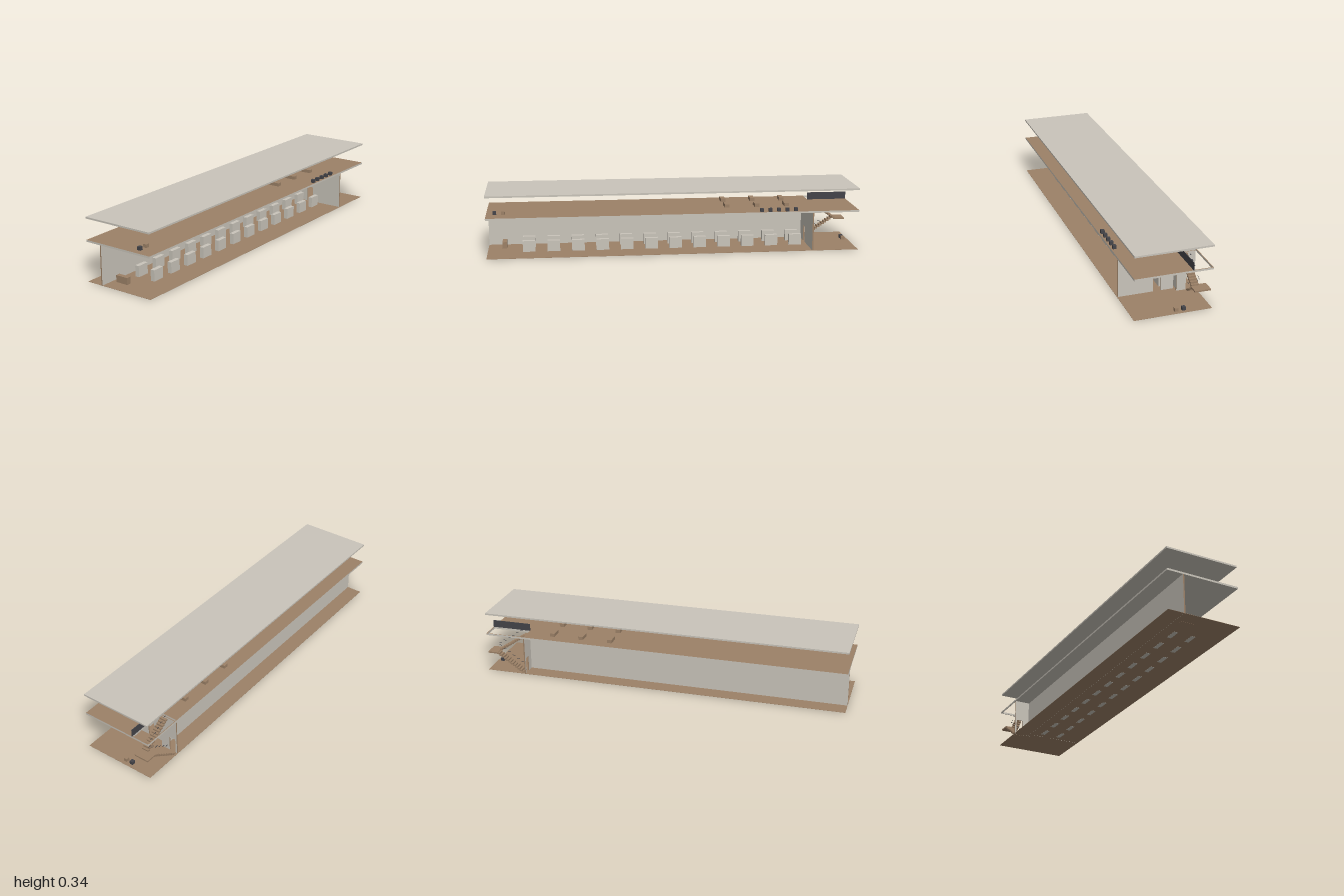
import * as THREE from 'three';

export function createModel() {
  const model = new THREE.Group();
  model.name = 'twoStoreyHall';

  const mat = (name, color) => {
    const m = new THREE.MeshStandardMaterial({ color });
    m.name = name;
    return m;
  };
  const plaster = mat('plaster', 0xc9c4ba);
  const wood = mat('wood', 0x9c8167);
  const dark = mat('darkGrey', 0x444449);

  // Box given by its x, y and z ranges
  const box = (name, material, x, y, z, parent = model) => {
    const g = new THREE.BoxGeometry(x[1] - x[0], y[1] - y[0], z[1] - z[0]);
    const m = new THREE.Mesh(g, material);
    m.name = name;
    m.position.set((x[0] + x[1]) / 2, (y[0] + y[1]) / 2, (z[0] + z[1]) / 2);
    parent.add(m);
    return m;
  };
  // Box standing at y, centred on (cx, cz)
  const block = (name, material, cx, y, cz, w, h, d) =>
    box(name, material, [cx - w / 2, cx + w / 2], [y, y + h], [cz - d / 2, cz + d / 2]);

  const rect = (x0, y0, x1, y1, Type = THREE.Shape) => {
    const s = new Type();
    s.moveTo(x0, y0);
    s.lineTo(x1, y0);
    s.lineTo(x1, y1);
    s.lineTo(x0, y1);
    s.closePath();
    return s;
  };
  const extrude = (shape, depth) => new THREE.ExtrudeGeometry(shape, { depth, bevelEnabled: false });

  // Ground floor and roof
  box('groundFloor', wood, [-0.2, 0.2], [0.0007, 0.0017], [-1, 1]);
  box('roof', plaster, [-0.2, 0.2], [0.33, 0.339], [-1, 1]);

  // Upper floor with a stairwell opening, boarded on top
  const slab = rect(-0.2, -1, 0.2, 1);
  slab.holes.push(rect(-0.196, 0.78, -0.1, 0.995, THREE.Path));
  const addSlab = (name, material, y, depth) => {
    const m = new THREE.Mesh(extrude(slab, depth).rotateX(-Math.PI / 2), material);
    m.name = name;
    m.position.y = y;
    model.add(m);
  };
  addSlab('upperFloorSlab', plaster, 0.21, 0.009);
  addSlab('upperFloorBoards', [wood, plaster], 0.219, 0.001);

  // Cross walls with doorways and wooden edges
  const crossWall = (name, x0, x1, door0, door1, z) => {
    const s = new THREE.Shape();
    [[x0, 0], [door0, 0], [door0, 0.09], [door1, 0.09], [door1, 0], [x1, 0], [x1, 0.21], [x0, 0.21]]
      .forEach(([x, y], i) => (i ? s.lineTo(x, y) : s.moveTo(x, y)));
    s.closePath();
    const m = new THREE.Mesh(extrude(s, 0.007), [plaster, wood]);
    m.name = name;
    m.position.z = z;
    model.add(m);
  };
  crossWall('backWall', -0.095, 0.195, -0.027, 0.012, -0.754);
  crossWall('stairWall', -0.197, -0.1, -0.188, -0.15, -0.784);

  // Long wall, wooden on its ends
  box('longWall', [plaster, plaster, wood, wood, wood, wood],
    [-0.113, -0.106], [0, 0.21], [-0.777, 1]);

  // Two rows of twelve display racks
  for (const x of [-0.044, 0.056]) {
    for (let i = 0; i < 12; i++) block('displayRack', plaster, x, 0, 0.778 - i * 0.1325, 0.023, 0.061, 0.068);
  }

  // Ground floor furniture
  block('counter', wood, -0.0475, 0, 0.912, 0.071, 0.038, 0.024);
  block('woodStool', wood, -0.024, 0.0017, -0.972, 0.019, 0.018, 0.019);
  block('darkStool', dark, -0.062, 0.0017, -0.972, 0.019, 0.018, 0.019);

  // Upper floor furniture
  for (const x of [-0.115, 0.034]) {
    for (const z of [-0.3, -0.465, -0.63]) block('desk', wood, x, 0.22, z, 0.063, 0.018, 0.026);
  }
  for (let i = 0; i < 5; i++) block('seat', dark, 0.182, 0.22, -0.47 - i * 0.0465, 0.019, 0.018, 0.019);
  block('darkSeat', dark, 0.104, 0.22, 0.955, 0.019, 0.018, 0.019);
  block('woodSeat', wood, 0.104, 0.22, 0.91, 0.019, 0.018, 0.019);

  // Stairwell guard
  box('stairGuard', dark, [-0.1, -0.097], [0.22, 0.26], [-1, -0.78]);

  // Staircase: two flights meeting at a landing
  const stairs = new THREE.Group();
  stairs.name = 'staircase';
  model.add(stairs);
  const steps = 12, rise = 0.105 / steps, run = 0.155 / steps;
  for (let i = 0; i < steps; i++) {
    const z = -0.79 - i * run;
    const yLow = i * rise;
    const yHigh = 0.21 - (i + 1) * rise;
    box('lowerStep', wood, [-0.19, -0.151], [yLow, yLow + rise], [z - run - 0.002, z], stairs);
    box('upperStep', wood, [-0.149, -0.11], [yHigh, yHigh + rise], [z - run - 0.002, z], stairs);
    // Short rail pieces beside every second step
    if (i % 2 === 1) {
      box('lowerRail', dark, [-0.154, -0.152], [yLow + 0.04, yLow + 0.042], [z - 0.016, z], stairs);
      box('upperRail', dark, [-0.149, -0.147], [yHigh + 0.045, yHigh + 0.047], [z - 0.016, z], stairs);
    }
  }
  box('landing', wood, [-0.19, -0.108], [0.099, 0.107], [-1, -0.943], stairs);

  return model;
}
